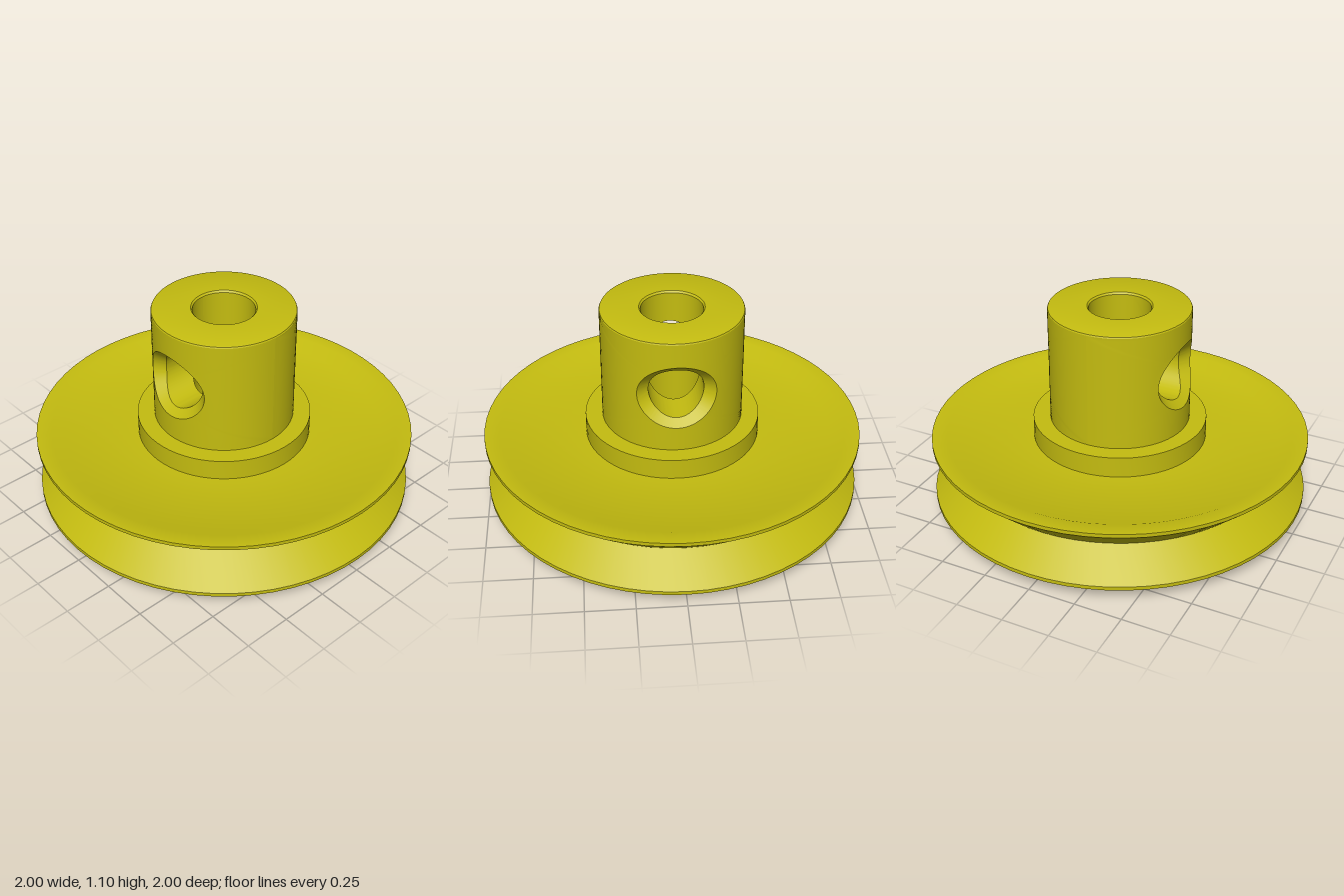
import * as THREE from 'three';
import { toCreasedNormals } from 'three/addons/utils/BufferGeometryUtils.js';

const SEG = 64;              // facets around the axis
const HUB_R = 0.37, BORE_R = 0.16;
const Y0 = 0.475, Y1 = 1.09; // height range of the drilled hub wall
const HOLE_Y = 0.786, HOLE_R = 0.14;

const material = new THREE.MeshStandardMaterial({ color: 0xc4bc10 });

function addMesh(parent, name, geometry) {
  const mesh = new THREE.Mesh(toCreasedNormals(geometry, 0.5), material);
  mesh.name = name;
  parent.add(mesh);
  return mesh;
}

function lathe(points) {
  return new THREE.LatheGeometry(points.map(([r, y]) => new THREE.Vector2(r, y)), SEG);
}

// Skin joining closed rings that all have the same number of points
function skin(rings) {
  const n = rings[0].length, index = [];
  for (let k = 0; k < rings.length - 1; k++) {
    for (let i = 0; i < n; i++) {
      const j = (i + 1) % n;
      const a = k * n + i, b = (k + 1) * n + i, c = (k + 1) * n + j, d = k * n + j;
      index.push(a, b, c, a, c, d);
    }
  }
  const geometry = new THREE.BufferGeometry().setFromPoints(rings.flat());
  geometry.setIndex(index);
  return geometry;
}

// Half of the hub: bore wall, cross hole, chamfer and outer wall in one skin
function drilledHalf() {
  // Unit square perimeter, counterclockwise, with the matching circle angle
  const side = SEG / 2, loop = [];
  for (let s = 0; s < 4; s++) {
    for (let i = 0; i < side; i++) {
      const t = -1 + 2 * i / side;
      const [u, v] = [[1, t], [-t, 1], [-1, -t], [t, -1]][s];
      loop.push({ u, v, a: Math.atan2(v, u) });
    }
  }
  // Ring on a cylinder of radius R, blended from hole edge (t = 0) to half-wall border (t = 1)
  const wallRing = (R, rx, ry, t) => loop.map(({ u, v, a }) => {
    const theta = THREE.MathUtils.lerp(Math.asin(rx * Math.cos(a) / R), u * Math.PI / 2, t);
    const border = v > 0 ? HOLE_Y + v * (Y1 - HOLE_Y) : HOLE_Y + v * (HOLE_Y - Y0);
    const y = THREE.MathUtils.lerp(HOLE_Y + ry * Math.sin(a), border, t);
    return new THREE.Vector3(R * Math.sin(theta), y, R * Math.cos(theta));
  });
  const rings = [], steps = 12;
  for (let k = steps; k >= 0; k--) rings.push(wallRing(BORE_R, HOLE_R, HOLE_R, k / steps));
  // Inner edge of the chamfer, deeper at the sides where the wall curves away
  rings.push(loop.map(({ a }) => new THREE.Vector3(
    HOLE_R * Math.cos(a), HOLE_Y + HOLE_R * Math.sin(a), 0.33 - 0.06 * Math.cos(a) ** 2)));
  for (let k = 0; k <= steps; k++) rings.push(wallRing(HUB_R, 0.2, 0.178, k / steps));
  return skin(rings);
}

export function createModel() {
  const model = new THREE.Group();
  model.name = 'pulley';

  // Grooved wheel with dished faces, collars and lower bore
  addMesh(model, 'grooveWheel', lathe([
    [BORE_R, Y0], [BORE_R, 0], [0.46, 0], [0.46, 0.11],
    [0.84, 0.11], [0.92, 0.075], [1, 0.075], [1, 0.095],
    [0.85, 0.24],
    [1, 0.38], [1, 0.4], [0.92, 0.4], [0.845, 0.363],
    [0.46, 0.363], [0.46, Y0], [HUB_R, Y0],
  ]));

  // Hub with a cross hole running front to back
  const hub = new THREE.Group();
  hub.name = 'hub';
  model.add(hub);
  addMesh(hub, 'hubFrontHalf', drilledHalf());
  addMesh(hub, 'hubBackHalf', drilledHalf()).rotation.y = Math.PI;

  // Top face with softened edges
  addMesh(hub, 'hubTop', lathe([
    [HUB_R, Y1], [0.367, 1.097], [0.36, 1.1], [0.168, 1.1], [BORE_R, Y1],
  ]));

  return model;
}
